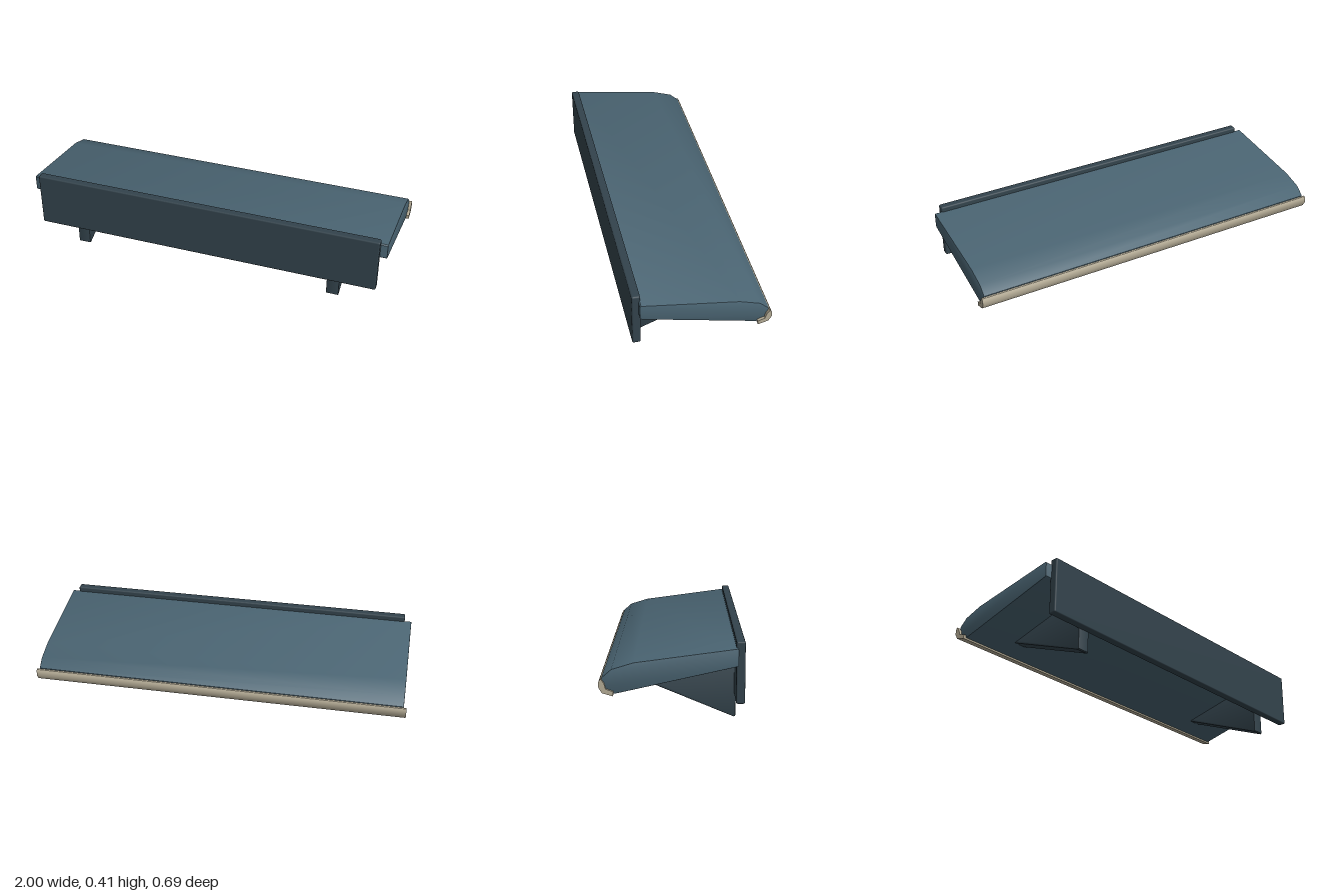
import * as THREE from 'three';
import { toCreasedNormals } from 'three/addons/utils/BufferGeometryUtils.js';
import { RoundedBoxGeometry } from 'three/addons/geometries/RoundedBoxGeometry.js';

const slate = new THREE.MeshStandardMaterial({ color: 0x4a6472 });
const dark = new THREE.MeshStandardMaterial({ color: 0x33434c });
const beige = new THREE.MeshStandardMaterial({ color: 0xb5ac96 });

// Side profile of [z, y] points, extruded along x to a width, with softened edges.
function profileMesh(name, points, width, bevel, material) {
  const shape = new THREE.Shape(points.map(([z, y]) => new THREE.Vector2(-z, y)));
  const geometry = new THREE.ExtrudeGeometry(shape, {
    depth: width - 2 * bevel,
    bevelEnabled: bevel > 0,
    bevelThickness: bevel,
    bevelSize: bevel,
    bevelOffset: -bevel,
    bevelSegments: 2,
  });
  geometry.translate(0, 0, bevel - width / 2);
  geometry.rotateY(Math.PI / 2);
  const mesh = new THREE.Mesh(toCreasedNormals(geometry, 0.6), material);
  mesh.name = name;
  return mesh;
}

export function createModel() {
  const model = new THREE.Group();
  model.name = 'shelf';

  // Upright board along the front
  const board = new THREE.Mesh(new RoundedBoxGeometry(1.895, 0.3, 0.043, 2, 0.008), dark);
  board.name = 'frontBoard';
  board.position.set(0, 0.265, 0.323);
  model.add(board);

  // Sloping solid slab, thinning into a faceted nose
  model.add(profileMesh('slopingSlab', [
    [0.306, 0.303], [0.312, 0.309], [0.312, 0.383], [0.306, 0.388],
    [-0.18, 0.322], [-0.284, 0.29], [-0.33, 0.25],
    [-0.325, 0.205], [-0.275, 0.174], [-0.265, 0.174],
  ], 1.97, 0.003, slate));

  // Trim wrapped round the slab's lower back edge
  model.add(profileMesh('edgeTrim', [
    [-0.331, 0.246], [-0.337, 0.243], [-0.343, 0.232], [-0.343, 0.207],
    [-0.327, 0.18], [-0.275, 0.165], [-0.273, 0.187],
    [-0.309, 0.199], [-0.317, 0.226],
  ], 2, 0, beige));

  // Pair of triangular brackets under the slab
  for (const side of [-1, 1]) {
    const bracket = profileMesh(side > 0 ? 'leftBracket' : 'rightBracket', [
      [0.302, 0.001], [0.309, 0.005], [0.309, 0.315],
      [-0.155, 0.206], [-0.167, 0.196], [-0.16, 0.192],
    ], 0.067, 0.003, dark);
    bracket.position.x = side * 0.717;
    model.add(bracket);
  }

  return model;
}
